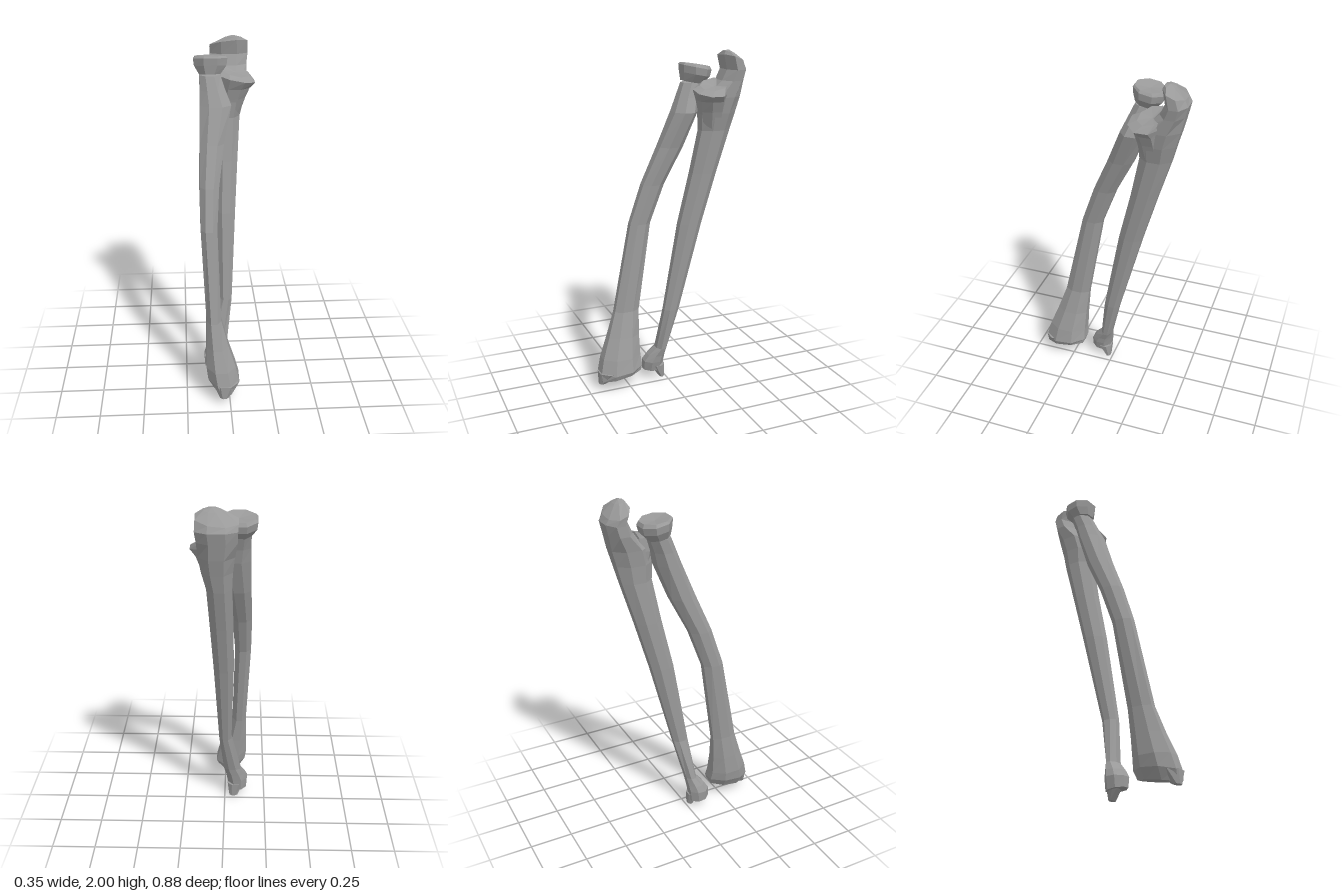
import * as THREE from 'three';

const SIDES = 8;
const bone = new THREE.MeshStandardMaterial({ color: 0x9a9a9a, flatShading: true });

// Lofts a closed faceted solid through rings listed from bottom to top.
// Ring: [y, xMin, xMax, zMin, zMax, rise along z, rise along x]
// Cap depths push the end centres outward (positive) or inward (negative).
function loft(name, rings, capBottom = 0, capTop = 0) {
  const pos = [], idx = [];
  const half = Math.cos(Math.PI / SIDES);
  for (const [y, x0, x1, z0, z1, sz = 0, sx = 0] of rings) {
    for (let j = 0; j < SIDES; j++) {
      const a = ((j + 0.5) / SIDES) * Math.PI * 2;
      const dx = (Math.cos(a) / half) * (x1 - x0) / 2;
      const dz = (Math.sin(a) / half) * (z1 - z0) / 2;
      pos.push((x0 + x1) / 2 + dx, y + sz * dz + sx * dx, (z0 + z1) / 2 + dz);
    }
  }
  for (let i = 0; i < rings.length - 1; i++) {
    for (let j = 0; j < SIDES; j++) {
      const k = (j + 1) % SIDES;
      const a = i * SIDES + j, b = i * SIDES + k, c = a + SIDES, d = b + SIDES;
      idx.push(a, c, b, b, c, d);
    }
  }
  const centre = (r, dy) => {
    pos.push((r[1] + r[2]) / 2, r[0] + dy, (r[3] + r[4]) / 2);
    return pos.length / 3 - 1;
  };
  const last = rings.length - 1;
  const lo = centre(rings[0], -capBottom), hi = centre(rings[last], capTop);
  for (let j = 0; j < SIDES; j++) {
    const k = (j + 1) % SIDES;
    idx.push(lo, j, k, hi, last * SIDES + k, last * SIDES + j);
  }
  let g = new THREE.BufferGeometry();
  g.setAttribute('position', new THREE.Float32BufferAttribute(pos, 3));
  g.setIndex(idx);
  g = g.toNonIndexed();
  g.computeVertexNormals();
  const mesh = new THREE.Mesh(g, bone);
  mesh.name = name;
  return mesh;
}

export function createModel() {
  const model = new THREE.Group();
  model.name = 'forearmBones';

  // Front bone: flared wrist end, bowed shaft, disc-shaped head
  const radius = new THREE.Group();
  radius.name = 'radius';
  radius.add(
    loft('radiusShaft', [
      [0.08, -0.09, 0.045, 0.185, 0.425, -0.16, 0.1],
      [0.125, -0.125, 0.057, 0.173, 0.432, -0.1, -0.1],
      [0.2, -0.135, 0.035, 0.178, 0.41],
      [0.32, -0.133, -0.005, 0.175, 0.365],
      [0.47, -0.13, -0.045, 0.165, 0.315],
      [1.0, -0.155, -0.06, 0.08, 0.203],
      [1.23, -0.157, -0.045, -0.005, 0.125],
      [1.45, -0.15, -0.012, -0.115, 0.03],
      [1.65, -0.145, 0.033, -0.19, -0.05],
      [1.73, -0.143, 0.0, -0.21, -0.085],
      [1.81, -0.145, -0.025, -0.24, -0.12],
    ], -0.015, 0.01),
    loft('radiusHead', [
      [1.81, -0.145, -0.025, -0.235, -0.12, 0.2],
      [1.855, -0.172, 0.01, -0.275, -0.115, 0.2],
      [1.895, -0.177, 0.015, -0.285, -0.112, 0.2],
      [1.91, -0.165, 0.005, -0.275, -0.12, 0.15],
    ], 0, -0.01),
    loft('radiusStyloid', [
      [0.045, -0.06, -0.01, 0.39, 0.437, -0.1],
      [0.12, -0.1, 0.045, 0.28, 0.437],
    ], 0.006, 0),
  );

  // Rear bone: thin wrist end, straight shaft, hooked elbow end
  const ulna = new THREE.Group();
  ulna.name = 'ulna';
  ulna.add(
    loft('ulnaShaft', [
      [0.055, -0.135, -0.03, 0.02, 0.135, 0.1, 0.05],
      [0.12, -0.14, -0.015, 0.012, 0.135],
      [0.16, -0.125, -0.01, 0.007, 0.11],
      [0.21, -0.1, 0.003, 0.0, 0.065],
      [0.47, -0.042, 0.032, -0.063, 0.03],
      [1.0, -0.055, 0.058, -0.2, -0.065],
      [1.3, -0.052, 0.075, -0.285, -0.135],
      [1.55, -0.045, 0.09, -0.36, -0.185],
      [1.65, -0.05, 0.115, -0.385, -0.178],
      [1.74, -0.06, 0.13, -0.41, -0.2],
      [1.83, -0.075, 0.135, -0.43, -0.295],
      [1.89, -0.075, 0.143, -0.443, -0.322],
      [1.945, -0.078, 0.14, -0.425, -0.305, 0.4, 0.1],
      [1.985, 0.01, 0.1, -0.37, -0.315, 0.25],
    ], -0.01, 0.012),
    loft('coronoidProcess', [
      [1.54, -0.02, 0.08, -0.31, -0.2],
      [1.66, -0.03, 0.12, -0.32, -0.175],
      [1.72, -0.035, 0.145, -0.32, -0.16],
      [1.775, -0.03, 0.175, -0.315, -0.135, 0.0, -0.2],
      [1.81, -0.02, 0.14, -0.33, -0.18, -0.2, -0.25],
    ], 0, -0.01),
    loft('ulnaStyloid', [
      [0.008, -0.08, -0.03, 0.012, 0.042],
      [0.09, -0.115, -0.018, 0.008, 0.1],
    ], 0.006, 0),
  );

  model.add(radius, ulna);
  return model;
}
